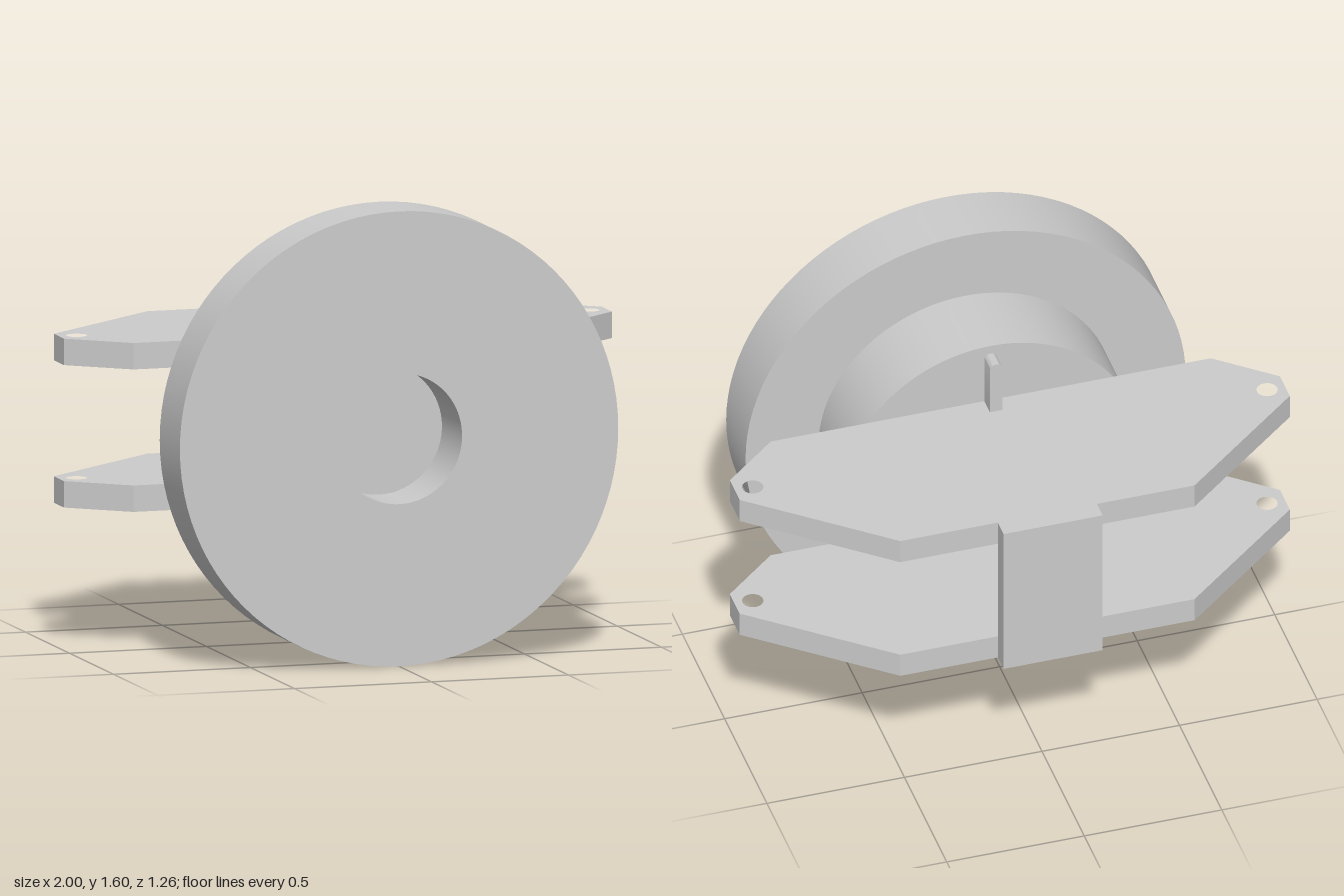
import * as THREE from 'three';
import { toCreasedNormals } from 'three/addons/utils/BufferGeometryUtils.js';

const CENTER_Y = 0.8;

export function createModel() {
  const group = new THREE.Group();
  const material = new THREE.MeshStandardMaterial({ color: 0xcccccc });

  function add(name, geometry, x, y, z) {
    const mesh = new THREE.Mesh(geometry, material);
    mesh.name = name;
    mesh.position.set(x, y, z);
    group.add(mesh);
    return mesh;
  }

  // Flanged wheel: wide disc with a blind bore in front, solid hub behind
  const profile = [
    [0, 0.106], [0.535, 0.106], [0.535, 0.403], [0.8, 0.403],
    [0.8, 0.632], [0.23, 0.632], [0.23, 0.403], [0, 0.403],
  ].map(([r, z]) => new THREE.Vector2(r, z));
  const wheel = new THREE.LatheGeometry(profile, 96).rotateX(Math.PI / 2);
  add('flangedWheel', toCreasedNormals(wheel, 0.6), 0, CENTER_Y, 0);

  // Two bracket plates with a hole near each tip
  const half = [[0.8, 0.106], [1, -0.062], [1, -0.178], [0.535, -0.564]];
  const outline = [...half, ...half.map(([x, z]) => [-x, z]).reverse()];
  const plateShape = new THREE.Shape(outline.map(([x, z]) => new THREE.Vector2(x, z)));
  for (const side of [-1, 1]) {
    plateShape.holes.push(new THREE.Path().absarc(side * 0.935, -0.121, 0.037, 0, Math.PI * 2, true));
  }
  const plateThickness = 0.093;
  const plate = toCreasedNormals(
    new THREE.ExtrudeGeometry(plateShape, { depth: plateThickness, bevelEnabled: false, curveSegments: 32 })
      .rotateX(Math.PI / 2), 0.5);
  add('upperPlate', plate, 0, 1.097, 0);
  add('lowerPlate', plate, 0, 0.503 + plateThickness, 0);

  // Bar joining the plates at the back
  add('rearBar', new THREE.BoxGeometry(0.36, 0.594, 0.068), 0, CENTER_Y, -0.598);

  // Round-ended ribs on the hub, above and below the plates
  const r = 0.023, ribLength = 0.205;
  const ribShape = new THREE.Shape();
  ribShape.moveTo(-r, 0);
  ribShape.lineTo(r, 0);
  ribShape.lineTo(r, ribLength - r);
  ribShape.absarc(0, ribLength - r, r, 0, Math.PI, false);
  ribShape.lineTo(-r, 0);
  const rib = toCreasedNormals(
    new THREE.ExtrudeGeometry(ribShape, { depth: 0.066, bevelEnabled: false, curveSegments: 16 }), 0.6);
  add('upperRib', rib, 0, 1.097, 0.04);
  add('lowerRib', rib, 0, 0.503, 0.106).rotation.x = Math.PI;

  return group;
}
